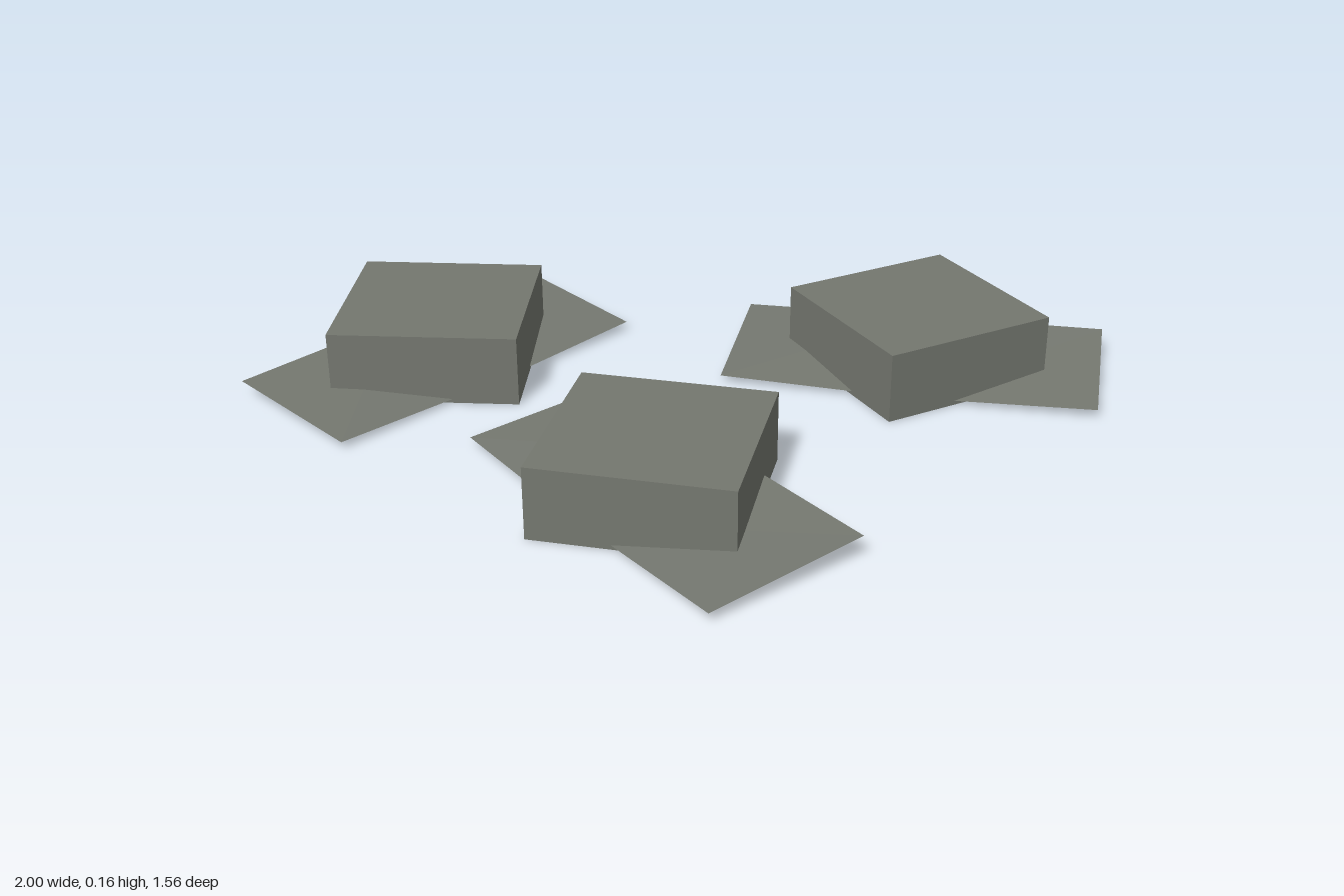
import * as THREE from 'three';

const stone = new THREE.MeshStandardMaterial({ color: 0x74776f, side: THREE.DoubleSide, flatShading: true });
stone.name = 'stone grey';

// Heights of the warped sheet: raised edge, then low edge, each from end to end
const HEIGHTS = [0.035, 0.043, 0.05, 0.017, 0.006, 0.021];

function makeSheet() {
  const geometry = new THREE.PlaneGeometry(0.845, 0.37, 2, 1).rotateX(-Math.PI / 2);
  HEIGHTS.forEach((y, i) => geometry.attributes.position.setY(i, y));
  geometry.computeVertexNormals();
  const sheet = new THREE.Mesh(geometry, stone);
  sheet.name = 'baseSheet';
  return sheet;
}

function makeBlock() {
  const block = new THREE.Mesh(new THREE.BoxGeometry(0.423, 0.16, 0.423), stone);
  block.name = 'block';
  block.position.y = 0.08;
  block.rotation.y = THREE.MathUtils.degToRad(40.7);
  return block;
}

export function createModel() {
  const model = new THREE.Group();
  model.name = 'scatteredBlocks';
  // x, z and turn in degrees for each block with its sheet
  const places = [
    ['leftSlab', 0.537, -0.229, -18.6],
    ['rightSlab', -0.557, -0.369, 39.9],
    ['frontSlab', -0.117, 0.322, -59.6],
  ];
  for (const [name, x, z, turn] of places) {
    const slab = new THREE.Group();
    slab.name = name;
    slab.add(makeBlock(), makeSheet());
    slab.position.set(x, 0, z);
    slab.rotation.y = THREE.MathUtils.degToRad(turn);
    model.add(slab);
  }
  return model;
}
